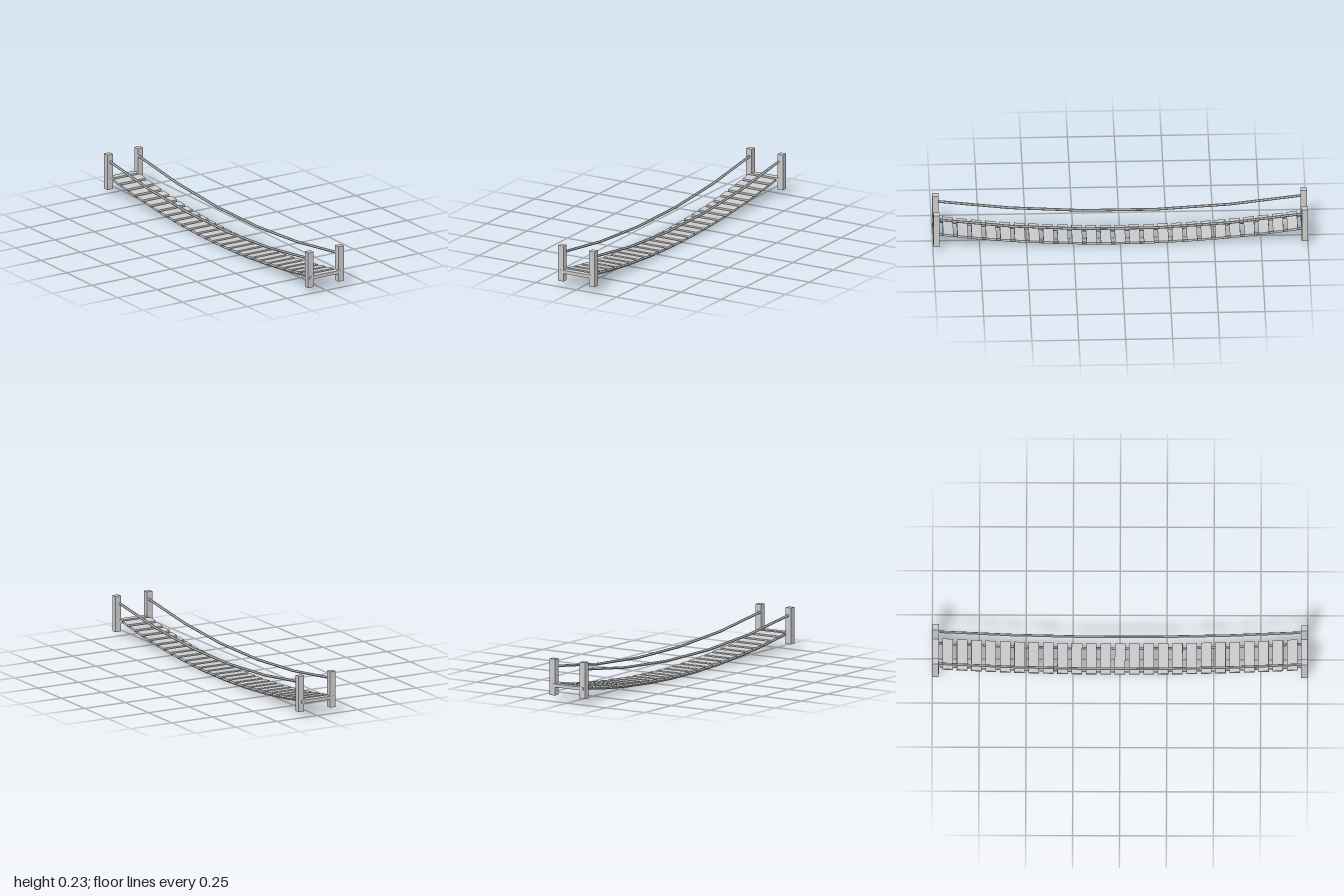
import * as THREE from 'three';

const material = new THREE.MeshStandardMaterial({ color: 0xcccccc, flatShading: true });
const SHIFT = -0.0045; // deck sits slightly off the post centreline
const SAG = 0.08;

// Parabolic sag running along z
class SagCurve extends THREE.Curve {
  constructor(x, low, half) {
    super();
    Object.assign(this, { x, low, half });
  }
  getPoint(t, target = new THREE.Vector3()) {
    const z = (t * 2 - 1) * this.half;
    return target.set(this.x, this.low + SAG * z * z, z);
  }
}

export function createModel() {
  const group = new THREE.Group();

  const add = (name, geometry, x = 0, y = 0, z = 0) => {
    const mesh = new THREE.Mesh(geometry, material);
    mesh.name = name;
    mesh.position.set(x, y, z);
    group.add(mesh);
    return mesh;
  };

  // Posts and crossbars at both ends
  const postGeometry = new THREE.BoxGeometry(0.034, 0.197, 0.033);
  const barGeometry = new THREE.BoxGeometry(0.199, 0.018, 0.0355);
  for (const end of [1, -1]) {
    for (const side of [1, -1]) {
      add('post', postGeometry, side * 0.0965, 0.1335, end * 0.982);
    }
    add('crossbar', barGeometry, SHIFT, 0.089, end * 0.98225);
  }

  // Handrail ropes and the ropes carrying the planks
  for (const side of [1, -1]) {
    const rail = new SagCurve(SHIFT + side * 0.0905, 0.115, 0.975);
    add('handrailRope', new THREE.TubeGeometry(rail, 5, 0.0072, 6));
    const deck = new SagCurve(SHIFT + side * 0.064, 0.0072, 0.98);
    add('deckRope', new THREE.TubeGeometry(deck, 9, 0.0072, 6));
  }

  // Planks, each tilted to follow the sag
  const plankGeometry = new THREE.BoxGeometry(0.172, 0.012, 0.056);
  const count = 25;
  for (let i = 0; i < count; i++) {
    const z = (i - (count - 1) / 2) * 0.0765;
    const plank = add('plank', plankGeometry, SHIFT, 0.0195 + SAG * z * z, z);
    plank.rotation.x = -Math.atan(2 * SAG * z);
  }

  return group;
}
